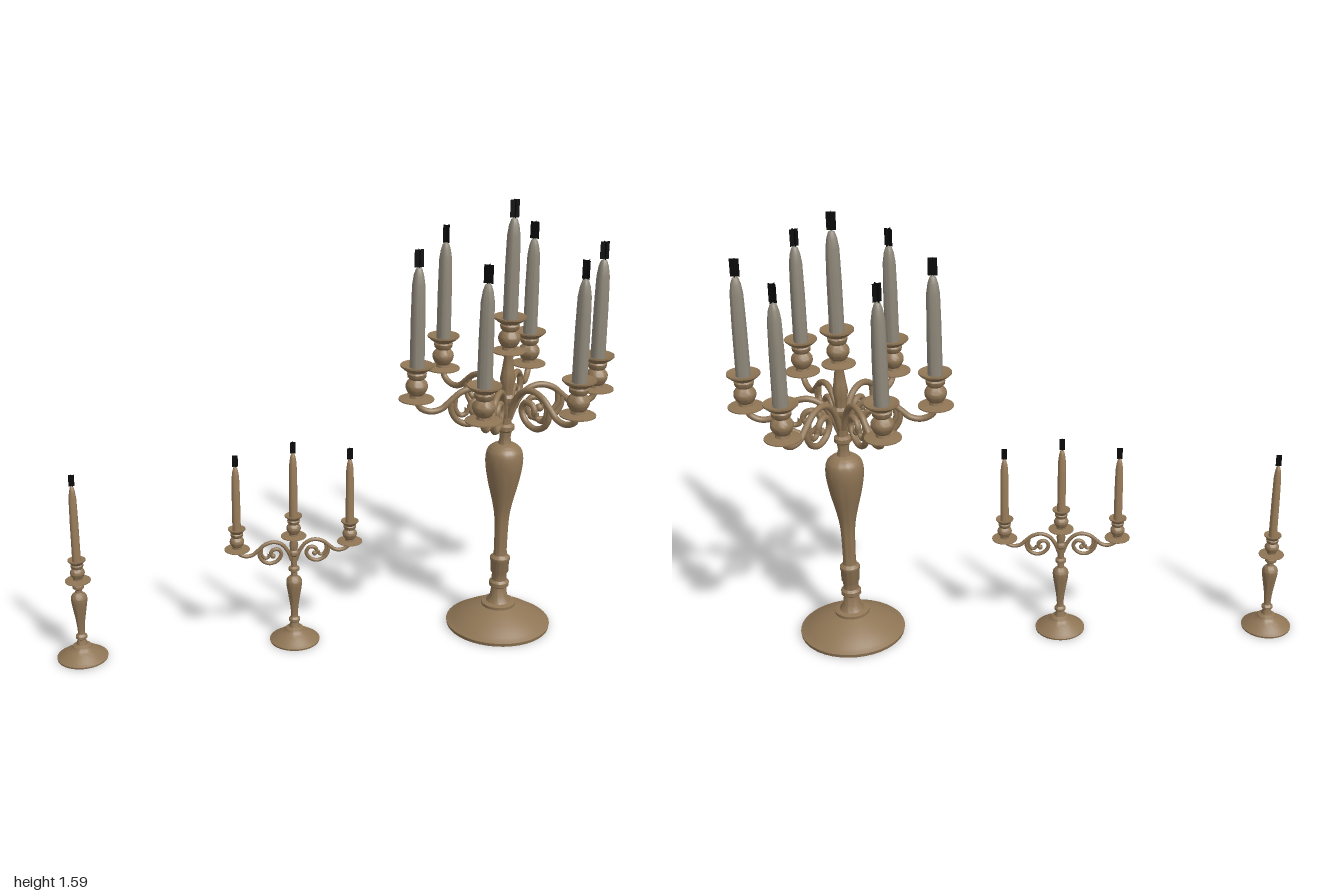
import * as THREE from 'three';
import { toCreasedNormals } from 'three/addons/utils/BufferGeometryUtils.js';

const material = (name, color, side = THREE.FrontSide) => {
  const m = new THREE.MeshStandardMaterial({ color, side });
  m.name = name;
  return m;
};

export function createModel() {
  const brass = material('antique brass', 0x8f7555);
  const greyWax = material('grey wax', 0x8f887a);
  const tanWax = material('tan wax', 0x9a7d5b);
  const black = material('black wick', 0x080808, THREE.DoubleSide);
  const felt = material('dark red felt', 0x3c1a20);

  const mesh = (name, geometry, mat) => {
    const m = new THREE.Mesh(geometry, mat);
    m.name = name;
    return m;
  };
  // Turned part from [radius, height] pairs, listed bottom to top
  const turned = (name, points, mat, sides = 32) => mesh(name, toCreasedNormals(
    new THREE.LatheGeometry(points.map(p => new THREE.Vector2(...p)), sides), 0.7), mat);
  const smooth = (points, n) => new THREE.SplineCurve(
    points.map(p => new THREE.Vector2(...p))).getPoints(n).map(p => [p.x, p.y]);

  // Drip plate, cup, candle and crossed wick planes, standing on y = 0
  function holder(o) {
    const g = new THREE.Group();
    g.name = 'candleHolder';
    const { plate, rim, body, cup, wax, waxR, wickH, wickW, mat } = o;
    g.add(turned('cup', [
      [0, -0.08 * cup], [body * 0.5, -0.08 * cup], [body * 0.6, -0.01 * cup],
      [plate * 0.8, -0.01 * cup], [plate, 0.02 * cup], [plate, 0.05 * cup],
      [body * 0.65, 0.09 * cup], [body * 0.6, 0.16 * cup],
      ...smooth([[body * 0.75, 0.2 * cup], [body, 0.34 * cup], [body * 0.98, 0.48 * cup],
        [body * 0.65, 0.6 * cup]], 8),
      [body * 0.85, 0.66 * cup], [body * 0.9, 0.76 * cup], [body * 0.8, 0.8 * cup],
      [rim * 0.8, 0.88 * cup], [rim, 0.96 * cup], [rim, cup],
      [waxR * 1.1, 0.93 * cup], [0, 0.93 * cup],
    ], brass, 24));
    const top = cup + wax;
    g.add(turned('candle', [
      [waxR, cup * 0.9], [waxR * 0.97, cup + wax * 0.5], [waxR * 0.88, cup + wax * 0.82],
      [waxR * 0.68, cup + wax * 0.92], [waxR * 0.42, cup + wax * 0.98], [0, top],
    ], mat, 16));
    for (let i = 0; i < 2; i++) {
      const w = mesh('wick', new THREE.PlaneGeometry(wickW, wickH), black);
      w.position.y = top + wickH / 2 - 0.002;
      w.rotation.y = i * Math.PI / 2;
      g.add(w);
    }
    return g;
  }

  // Scrolled arm in the xy plane; x runs outward and y is measured from the drip plate
  function arm(s) {
    const g = new THREE.Group();
    g.name = 'scrollArm';
    const tube = (name, pts, r) => {
      const curve = new THREE.CatmullRomCurve3(pts.map(([x, y]) => new THREE.Vector3(x * s, y * s, 0)));
      g.add(mesh(name, new THREE.TubeGeometry(curve, 48, r * s, 10), brass));
    };
    tube('armStem', [[0.325, 0], [0.312, -0.028], [0.275, -0.045], [0.235, -0.038], [0.205, -0.013],
      [0.165, 0.02], [0.115, 0.032], [0.07, 0.015], [0.035, -0.03], [0.012, -0.09]], 0.011);
    tube('armScroll', [[0.2, -0.015], [0.198, -0.05], [0.175, -0.085], [0.135, -0.1], [0.092, -0.083],
      [0.072, -0.045], [0.09, -0.015], [0.12, -0.018], [0.133, -0.04], [0.12, -0.058]], 0.011);
    tube('armCurl', [[0.185, 0], [0.185, -0.04], [0.165, -0.065], [0.145, -0.058], [0.142, -0.038]], 0.009);
    // Bud ending the scroll
    const bud = mesh('scrollBud', new THREE.SphereGeometry(0.015 * s, 12, 8), brass);
    bud.position.set(0.12 * s, -0.055 * s, 0);
    g.add(bud);
    return g;
  }

  function addArms(parent, count, s, y, options, drop = 0) {
    for (let i = 0; i < count; i++) {
      const branch = new THREE.Group();
      branch.name = 'branch';
      const h = holder(options);
      h.position.x = 0.325 * s;
      branch.add(arm(s), h);
      branch.rotation.y = i * Math.PI * 2 / count;
      branch.position.y = y - (i % (count / 2) === 0 ? drop : 0);
      parent.add(branch);
    }
  }

  const model = new THREE.Group();
  model.name = 'candlesticks';
  const stand = (name, x) => {
    const g = new THREE.Group();
    g.name = name;
    g.position.x = x;
    model.add(g);
    return g;
  };

  // Large candelabrum with six arms
  const large = stand('largeCandelabrum', 0.61);
  large.add(turned('largeStand', [
    [0, 0], [0.188, 0], [0.19, 0.012],
    ...smooth([[0.178, 0.018], [0.14, 0.043], [0.1, 0.064], [0.062, 0.08]], 10),
    [0.062, 0.09], [0.045, 0.095], [0.032, 0.115], [0.027, 0.15],
    [0.036, 0.157], [0.036, 0.172], [0.028, 0.18], [0.027, 0.205], [0.033, 0.215], [0.033, 0.255],
    [0.036, 0.26], [0.036, 0.27], [0.025, 0.28],
    ...smooth([[0.023, 0.3], [0.026, 0.42], [0.037, 0.49], [0.056, 0.57], [0.067, 0.64],
      [0.063, 0.685], [0.045, 0.706], [0.024, 0.715]], 24),
    [0.019, 0.735], [0.022, 0.76], [0.031, 0.768], [0.031, 0.782], [0.02, 0.79],
    [0.019, 0.86], [0.03, 0.875], [0.03, 0.89], [0.021, 0.9], [0.022, 0.93], [0.027, 0.955],
    [0.022, 0.985], [0.016, 1.03], [0.02, 1.05], [0, 1.055],
  ], brass, 40));
  const bigHolder = { plate: 0.058, rim: 0.058, body: 0.038, cup: 0.13, wax: 0.345, waxR: 0.026,
    wickH: 0.062, wickW: 0.032, mat: greyWax };
  const crown = holder(bigHolder);
  crown.position.y = 1.052;
  large.add(crown);
  addArms(large, 6, 1.0, 0.907, { ...bigHolder, plate: 0.062 }, 0.012);

  // Foot and baluster shared by the two small stands
  const smallStand = (name, upper) => turned(name, [
    [0, 0.001], [0.089, 0.001], [0.09, 0.007],
    ...smooth([[0.083, 0.011], [0.06, 0.027], [0.035, 0.043]], 8),
    [0.032, 0.05], [0.02, 0.056], [0.014, 0.075], [0.02, 0.08], [0.02, 0.088], [0.013, 0.095],
    ...smooth([[0.012, 0.105], [0.015, 0.14], [0.022, 0.185], [0.028, 0.225], [0.026, 0.245],
      [0.012, 0.258]], 16),
    ...upper,
  ], brass);
  const smallHolder = { plate: 0.045, rim: 0.031, body: 0.025, cup: 0.083, wax: 0.235, waxR: 0.015,
    wickH: 0.042, wickW: 0.02, mat: tanWax };

  // Medium candelabrum with two arms
  const medium = stand('mediumCandelabrum', -0.15);
  medium.add(smallStand('mediumStand', [
    [0.011, 0.275], [0.019, 0.28], [0.019, 0.29], [0.011, 0.296], [0.011, 0.335], [0.018, 0.343],
    [0.018, 0.353], [0.013, 0.36], [0.016, 0.38], [0.01, 0.405], [0, 0.41]]));
  const middle = holder(smallHolder);
  middle.position.y = 0.41;
  medium.add(middle);
  addArms(medium, 2, 0.62, 0.374, smallHolder);

  // Single candlestick
  const single = stand('singleCandlestick', -0.91);
  single.add(smallStand('singleStand', [
    [0.011, 0.268], [0.02, 0.275], [0.02, 0.285], [0.011, 0.292], [0, 0.3]]));
  const top = holder({ ...smallHolder, wax: 0.277 });
  top.position.y = 0.3;
  single.add(top);
  const pad = mesh('feltPad', new THREE.CircleGeometry(0.089, 32), felt);
  pad.rotation.x = Math.PI / 2;
  single.add(pad);

  return model;
}
